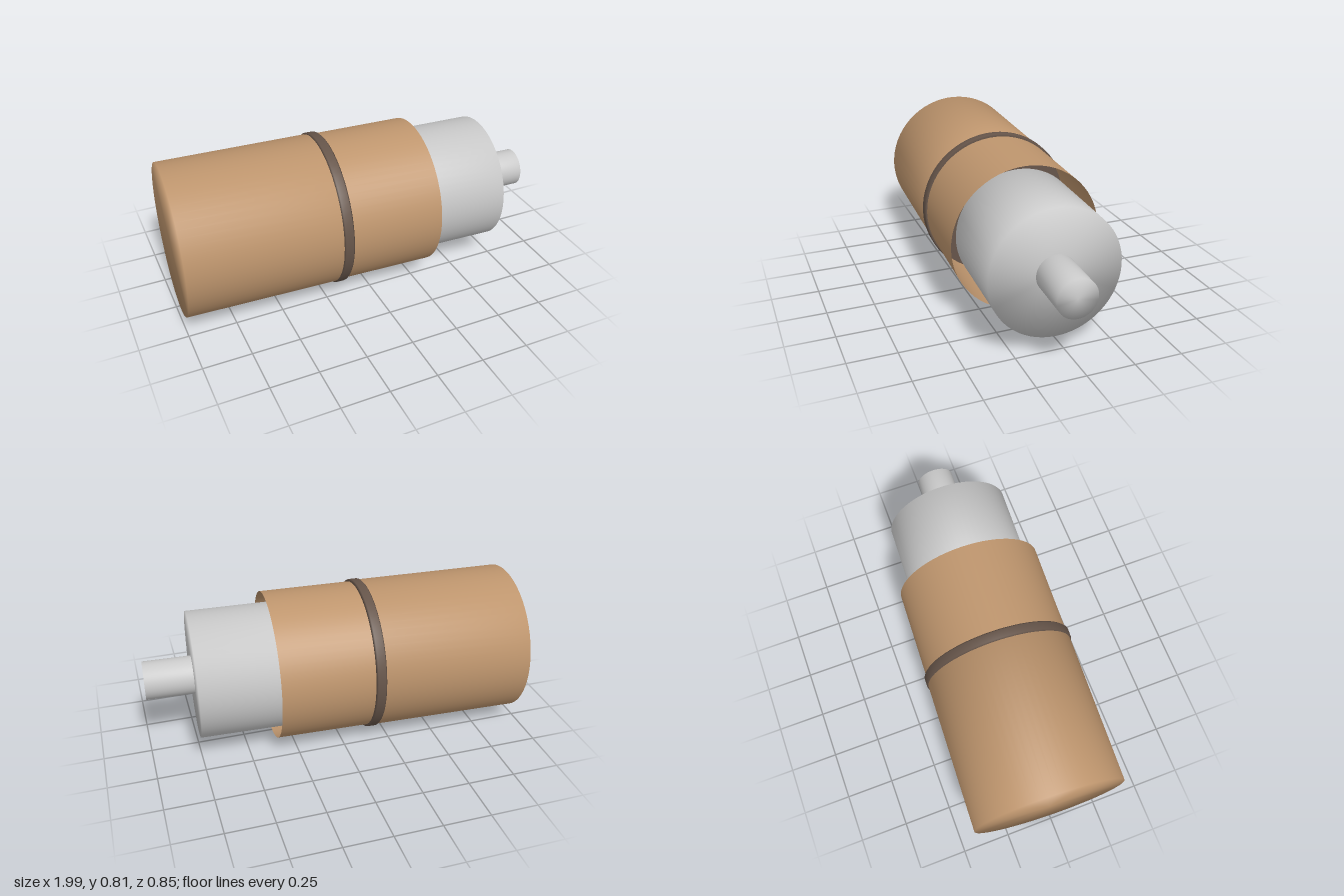
import * as THREE from 'three';
import { mergeVertices } from 'three/addons/utils/BufferGeometryUtils.js';

const SEGMENTS = 64;
const copper = new THREE.MeshStandardMaterial({ color: 0xbf966e });
const copperShell = new THREE.MeshStandardMaterial({ color: 0xbf966e, side: THREE.DoubleSide });
const bronze = new THREE.MeshStandardMaterial({ color: 0x66554a });
const grey = new THREE.MeshStandardMaterial({ color: 0xcccccc });

// Cylinder along x from x0 to x1; closed ones share soft normals over the rims
function barrel(name, radius, x0, x1, material, open = false) {
  let geometry = new THREE.CylinderGeometry(radius, radius, x1 - x0, SEGMENTS, 1, open);
  if (!open) {
    geometry.deleteAttribute('normal');
    geometry.deleteAttribute('uv');
    geometry = mergeVertices(geometry);
    geometry.computeVertexNormals();
  }
  geometry.rotateZ(-Math.PI / 2);
  geometry.translate((x0 + x1) / 2, 0, 0);
  const mesh = new THREE.Mesh(geometry, material);
  mesh.name = name;
  return mesh;
}

// Solid disc along x with a slightly bevelled rim
function bevelledDisc(name, radius, x0, x1, bevel, material) {
  const profile = [
    [0, x0], [radius - bevel, x0], [radius, x0 + bevel],
    [radius, x1 - bevel], [radius - bevel, x1], [0, x1],
  ].map(([r, x]) => new THREE.Vector2(r, x));
  const geometry = new THREE.LatheGeometry(profile, SEGMENTS);
  geometry.rotateZ(-Math.PI / 2);
  const mesh = new THREE.Mesh(geometry, material);
  mesh.name = name;
  return mesh;
}

export function createModel() {
  const model = new THREE.Group();
  model.name = 'cylinderAssembly';

  // All parts share one axis, turned slightly about the vertical
  const axis = new THREE.Group();
  axis.name = 'axis';
  axis.position.set(0, 0.404, 0.0125);
  axis.rotation.y = -0.0432;
  model.add(axis);

  axis.add(
    barrel('rearBody', 0.397, -0.983, -0.17, copper),
    bevelledDisc('dividerRing', 0.404, -0.196, -0.14, 0.008, bronze),
    barrel('frontSleeve', 0.392, -0.17, 0.344, copperShell, true),
    barrel('innerPlug', 0.333, 0.22, 0.742, grey),
    barrel('outletRod', 0.1, 0.7, 0.992, grey),
  );
  return model;
}
